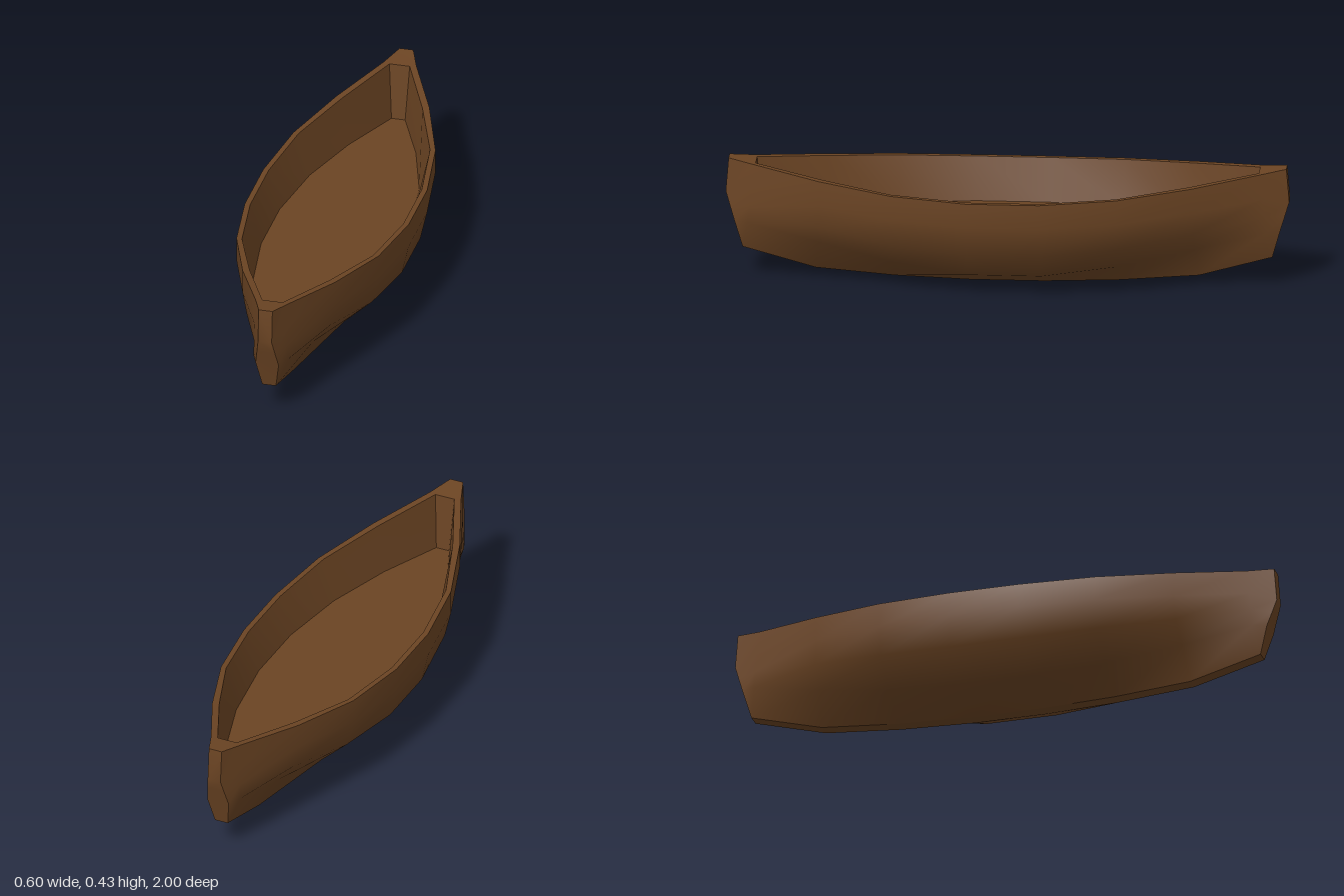
import * as THREE from 'three';
import { mergeGeometries, toCreasedNormals } from 'three/addons/utils/BufferGeometryUtils.js';

// Half sections of the hull [x, y, z], keel to gunwale, from midships to the stem
const HULL = [
  [[0.025, 0, 0.13], [0.172, 0.062, 0.13], [0.275, 0.165, 0.13], [0.3, 0.275, 0.13], [0.3, 0.363, 0.13]],
  [[0.025, 0.01, 0.4], [0.135, 0.092, 0.4], [0.236, 0.185, 0.4], [0.26, 0.285, 0.4], [0.26, 0.374, 0.4]],
  [[0.025, 0.033, 0.68], [0.09, 0.148, 0.67], [0.153, 0.222, 0.665], [0.17, 0.305, 0.66], [0.17, 0.395, 0.66]],
  [[0.025, 0.105, 0.94], [0.062, 0.205, 0.92], [0.062, 0.265, 0.915], [0.062, 0.33, 0.91], [0.06, 0.42, 0.9]],
  [[0.025, 0.105, 0.94], [0.042, 0.205, 0.968], [0.033, 0.26, 0.985], [0.025, 0.31, 1], [0.025, 0.432, 0.99]],
];
// Half sections of the inside: floor edge, then inner gunwale
const FLOOR_Y = 0.21;
const INSIDE = [
  [[0.24, FLOOR_Y, 0.13], [0.28, 0.363, 0.13]],
  [[0.2, FLOOR_Y, 0.4], [0.24, 0.374, 0.4]],
  [[0.123, FLOOR_Y, 0.65], [0.147, 0.395, 0.65]],
  [[0.025, FLOOR_Y, 0.875], [0.037, 0.419, 0.893]],
];

const mirrorX = ([x, y, z]) => [-x, y, z];
const mirrorZ = ([x, y, z]) => [x, y, -z];
// Stations for the whole length, stern to stem
const fullLength = (half) => [...half.map((s) => s.map(mirrorZ)).reverse(), ...half];

// Surface through rows of points
function grid(rows, flip = false) {
  const n = rows[0].length;
  const index = [];
  for (let i = 0; i < rows.length - 1; i++) {
    for (let j = 0; j < n - 1; j++) {
      const a = i * n + j, b = a + 1, c = a + n, d = c + 1;
      index.push(...(flip ? [a, c, b, b, c, d] : [a, b, c, b, d, c]));
    }
  }
  const g = new THREE.BufferGeometry();
  g.setAttribute('position', new THREE.Float32BufferAttribute(rows.flat(2), 3));
  g.setIndex(index);
  return g.toNonIndexed();
}

// Strip joining the two sides of one station
const pair = (p) => [mirrorX(p), p];
const across = (station) => station.map(pair);

export function createModel() {
  const boat = new THREE.Group();
  boat.name = 'rowingBoat';
  const wood = new THREE.MeshStandardMaterial({ color: 0x6b4423, side: THREE.DoubleSide });
  wood.name = 'brownWood';

  const add = (name, parts, crease) => {
    const mesh = new THREE.Mesh(toCreasedNormals(mergeGeometries(parts), crease), wood);
    mesh.name = name;
    boat.add(mesh);
  };

  const hull = fullLength(HULL);
  const inside = fullLength(INSIDE);
  const last = hull.length - 1;
  const lastIn = inside.length - 1;
  const port = (stations) => stations.map((s) => s.map(mirrorX).reverse());

  // Outer planking, running round both ends
  add('hullPlanking', [
    grid(hull),
    grid(port(hull)),
    grid(across(hull[last])),
    grid(across(hull[0]), true),
  ], 0.95);

  // Flat keel strip
  add('keel', [grid(hull.slice(1, last).map((s) => pair(s[0])))], 0.1);

  // Inner walls with their end faces
  add('innerWalls', [
    grid(inside, true),
    grid(port(inside), true),
    grid(across(inside[lastIn]), true),
    grid(across(inside[0])),
  ], 0.5);

  // Level floor
  add('floor', [grid(inside.map((s) => pair(s[0])), true)], 0.5);

  // Gunwale rim, with a small deck at each end
  const outer = hull.map((s) => s[4]);
  const inner = [inside[0], ...inside, inside[lastIn]].map((s) => s[1]);
  add('gunwale', [
    grid(outer.map((p, i) => [inner[i], p]), true),
    grid(outer.map((p, i) => [mirrorX(p), mirrorX(inner[i])]), true),
    grid([pair(inner[last]), pair(outer[last])], true),
    grid([pair(outer[0]), pair(inner[0])], true),
  ], 0.5);

  return boat;
}
